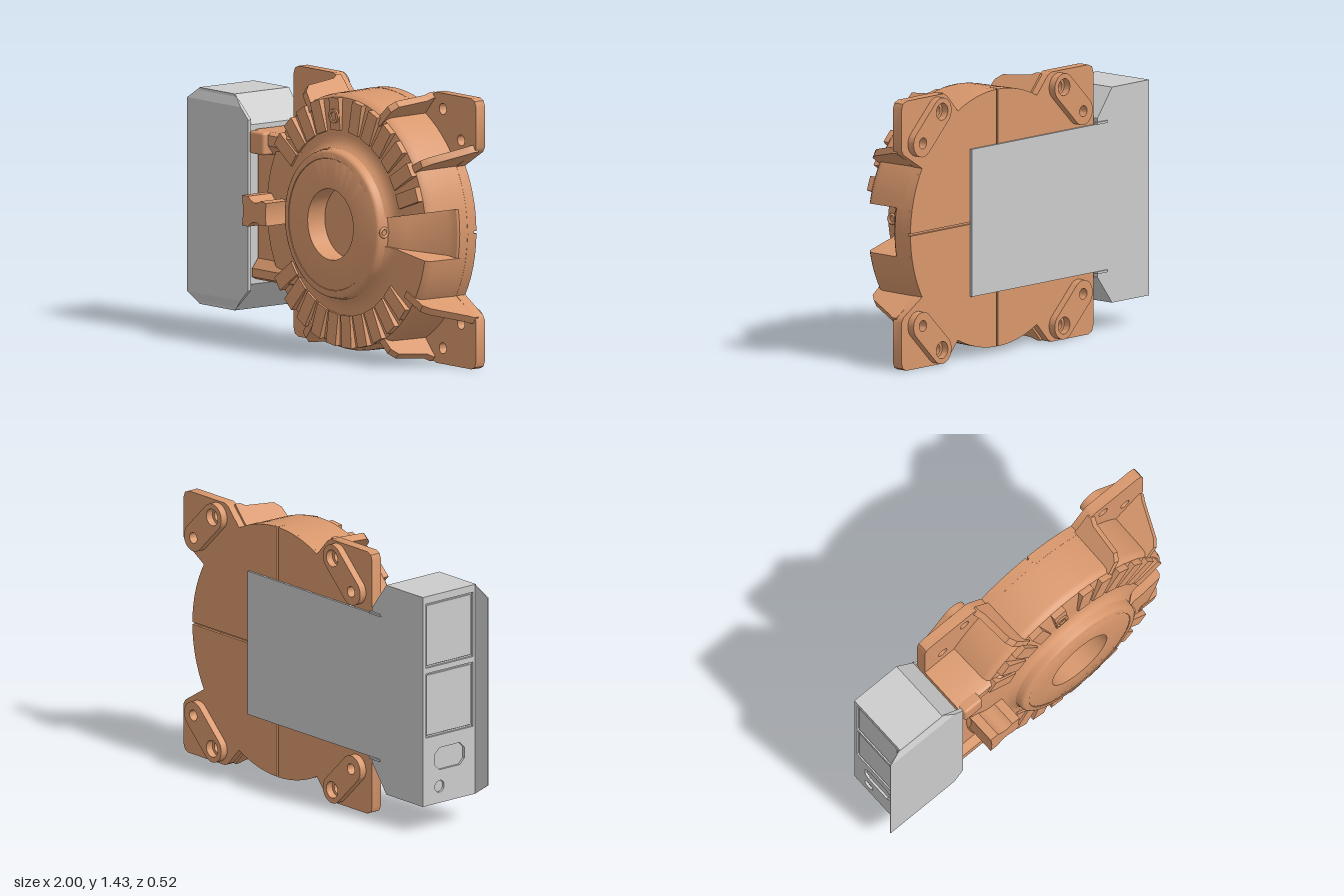
import * as THREE from 'three';
import { toCreasedNormals } from 'three/addons/utils/BufferGeometryUtils.js';
import { RoundedBoxGeometry } from 'three/addons/geometries/RoundedBoxGeometry.js';
import { ConvexGeometry } from 'three/addons/geometries/ConvexGeometry.js';

const RAD = Math.PI / 180;
const CX = 0.25, CY = 0.717;   // axis of the round housing
const cast = new THREE.MeshStandardMaterial({ color: 0xd8976c });
cast.side = THREE.DoubleSide;
const grey = new THREE.MeshStandardMaterial({ color: 0xcccccc });

const shapeOf = (pts) => new THREE.Shape(pts.map(([x, y]) => new THREE.Vector2(x, y)));
const circle = (x, y, r) => new THREE.Path().absarc(x, y, r, 0, Math.PI * 2);
const extrude = (shape, depth) =>
  toCreasedNormals(new THREE.ExtrudeGeometry(shape, { depth, bevelEnabled: false, curveSegments: 20 }), 0.6);

export function createModel() {
  const model = new THREE.Group();
  const body = new THREE.Group();
  body.name = 'housing';
  body.position.set(CX, CY, 0);
  model.add(body);

  const add = (parent, name, geo, mat, x = 0, y = 0, z = 0) => {
    const m = new THREE.Mesh(geo, mat);
    m.name = name;
    m.position.set(x, y, z);
    parent.add(m);
    return m;
  };
  // Turned part around z; angles in degrees counter-clockwise from +x
  const turned = (pts, from = 0, sweep = 360) => toCreasedNormals(
    new THREE.LatheGeometry(pts.map(([r, z]) => new THREE.Vector2(r, z)),
      Math.ceil(sweep / 4), (from + 90) * RAD, sweep * RAD).rotateX(Math.PI / 2), 0.6);

  // Round casing with a sloping notch on the +x side
  const NOTCH = 11;
  const ring = [[0.68, -0.205], [0.675, 0.055], [0.67, 0.08], [0.655, 0.097], [0.64, 0.1], [0.5, 0.117],
    [0.465, 0.118], [0.435, 0.124], [0.41, 0.138], [0.395, 0.155]];
  const floor = [[0.68, -0.205], [0.678, -0.11], [0.67, -0.1], [0.62, -0.085], [0.47, 0.08], [0.43, 0.115], [0.395, 0.14]];
  add(body, 'casing', turned([[0, -0.205], ...ring], NOTCH, 360 - 2 * NOTCH), cast);
  add(body, 'notchFloor', turned([[0, -0.205], ...floor], -NOTCH, 2 * NOTCH), cast);
  for (const s of [-1, 1]) {
    const wall = new THREE.ShapeGeometry(shapeOf([[0.39, -0.2], ...ring]));
    add(body, 'notchWall', wall.rotateX(Math.PI / 2).rotateZ(s * NOTCH * RAD), cast);
  }

  // Central hub with a blind bore
  add(body, 'hub', turned([[0.4, 0.08], [0.39, 0.185], [0.385, 0.197], [0.375, 0.204], [0.347, 0.205], [0.345, 0.202],
    [0.34, 0.205], [0.187, 0.205], [0.187, 0.09], [0, 0.09]]), cast);
  add(body, 'setScrew', new THREE.TorusGeometry(0.023, 0.008, 8, 20).rotateY(Math.PI / 2), cast, 0.392, 0, 0.165);

  // Radial pads on the front ring
  const padAngles = [20, 32, 44, 55.5, 67, 79, 96, 110, 121.5, 133, 144.5];
  for (let k = 0; k < 10; k++) padAngles.push(-144 + 11.5 * k);
  for (const a of padAngles) {
    const pad = new THREE.BoxGeometry(0.17, 0.078, 0.055).translate(0.57, 0, 0.1025).rotateZ(a * RAD);
    add(body, 'pad', pad, cast);
  }
  add(body, 'plugBoss', turned([[0.038, 0.12], [0.038, 0.14], [0.022, 0.14], [0.022, 0.132], [0, 0.132]]), cast, -0.06, 0.557, 0);

  // Upright gusset between two points, shortened towards the front
  const gusset = (a, b, topLen) => {
    const dx = b[0] - a[0], dy = b[1] - a[1], len = Math.hypot(dx, dy);
    const g = extrude(shapeOf([[0, -0.18], [len, -0.18], [len, -0.15], [len - 0.02, -0.12],
      [topLen + 0.015, 0.06], [topLen - 0.02, 0.095], [0, 0.112]]), 0.04);
    g.translate(0, 0, -0.02).rotateX(Math.PI / 2).rotateZ(Math.atan2(dy, dx));
    add(body, 'gusset', g, cast, a[0], a[1], 0);
  };

  // Four quadrants of the back plate, each with an ear and a slotted foot
  const arc = (from, to) => Array.from({ length: 9 }, (_, i) => {
    const t = (from + (to - from) * i / 8) * RAD;
    return [0.68 * Math.cos(t), 0.68 * Math.sin(t)];
  });
  const gap = 0.006;
  for (const sx of [-1, 1]) for (const sy of [-1, 1]) {
    const mir = ([x, y]) => [sx * x, sy * y];
    const side = sx > 0 ? [[0.68, gap], ...arc(1, 30), [0.735, 0.43], [0.75, 0.455]] : [[0.75, gap]];
    const pts = [[gap, gap], ...side, [0.75, 0.67], [0.739, 0.7], [0.71, 0.713], [0.42, 0.713],
      [0.395, 0.7], ...arc(63, 89), [gap, 0.68]];
    const holes = [[0.477, 0.63], [0.627, 0.483]].map(mir);
    const plate = shapeOf(pts.map(mir));
    for (const [x, y] of holes) plate.holes.push(circle(x, y, 0.029));
    add(body, 'backPlate', extrude(plate, 0.06), cast, 0, 0, -0.22);

    // Capsule foot around the two bolt holes
    const [p, q] = holes;
    const half = Math.hypot(q[0] - p[0], q[1] - p[1]) / 2;
    const foot = new THREE.Shape();
    foot.absarc(half, 0, 0.073, -Math.PI / 2, Math.PI / 2);
    foot.absarc(-half, 0, 0.073, Math.PI / 2, Math.PI * 1.5);
    foot.holes.push(circle(half, 0, 0.029), circle(-half, 0, 0.045));
    const m = add(body, 'foot', extrude(foot, 0.04), cast, (p[0] + q[0]) / 2, (p[1] + q[1]) / 2, -0.26);
    m.rotation.z = Math.atan2(q[1] - p[1], q[0] - p[0]);

    gusset(mir([0.275, 0.555]), mir([0.4, 0.695]), 0.13);
    if (sx > 0) gusset(mir([0.5, 0.315]), mir([0.738, 0.452]), 0.15);
  }

  // Side block joining the housing to the control box, hollowed across its front
  const blockProfile = shapeOf([[-0.39, -0.205], [0.4, -0.205], [0.4, 0.09], [0.385, 0.118], [0.33, 0.118],
    [0.28, 0.08], [-0.28, 0.08], [-0.33, 0.118], [-0.375, 0.118], [-0.39, 0.09]]);
  const block = extrude(blockProfile, 0.6);
  // profile (y, z) swept along x
  block.applyMatrix4(new THREE.Matrix4().makeBasis(new THREE.Vector3(0, 1, 0),
    new THREE.Vector3(0, 0, 1), new THREE.Vector3(1, 0, 0)));
  add(body, 'sideBlock', block, cast, -0.75, 0, 0);
  add(body, 'cornerLug', new RoundedBoxGeometry(0.12, 0.12, 0.1, 3, 0.015), cast, -0.68, 0.34, 0.1);

  // Waisted clamp standing on the side block
  const clamp = new THREE.Shape();
  clamp.moveTo(-0.1, -0.08);
  clamp.lineTo(-0.05, -0.08);
  clamp.quadraticCurveTo(0, -0.03, 0.05, -0.065);
  clamp.lineTo(0.1, -0.06);
  clamp.quadraticCurveTo(0.085, 0, 0.1, 0.06);
  clamp.lineTo(0.05, 0.065);
  clamp.quadraticCurveTo(0, 0.03, -0.05, 0.08);
  clamp.lineTo(-0.1, 0.08);
  clamp.quadraticCurveTo(-0.085, 0, -0.1, -0.08);
  add(body, 'clamp', extrude(clamp, 0.19), cast, -0.56, 0, 0.07);

  // Sheet-metal control box
  const box = new THREE.Group();
  box.name = 'controlBox';
  model.add(box);
  const outline = shapeOf([[-0.907, 0.15], [-0.63, 0.15], [-0.515, 0.3], [-0.515, 1.14], [-0.63, 1.29], [-0.907, 1.29]]);
  add(box, 'boxBody', extrude(outline, 0.365), grey, 0, 0, -0.235);

  // Outer wall with two panel recesses, a connector cut-out and a cable hole
  const rect = (x0, y0, x1, y1) => new THREE.Path([[x0, y0], [x1, y0], [x1, y1], [x0, y1]].map((p) => new THREE.Vector2(...p)));
  const wall = shapeOf([[-0.13, 0.15], [0.235, 0.15], [0.235, 1.29], [-0.13, 1.29]]);
  wall.holes.push(rect(-0.11, 0.9, 0.215, 1.25), rect(-0.11, 0.52, 0.215, 0.87), circle(0.12, 0.24, 0.032));
  wall.holes.push(new THREE.Path([[-0.05, 0.36], [-0.02, 0.33], [0.12, 0.33], [0.15, 0.36], [0.15, 0.42],
    [0.12, 0.45], [-0.02, 0.45], [-0.05, 0.42]].map((p) => new THREE.Vector2(...p))));
  add(box, 'connectorWall', extrude(wall, 0.014).rotateY(Math.PI / 2).translate(-0.92, 0, 0), grey);
  for (const y of [1.075, 0.695]) add(box, 'panel', new RoundedBoxGeometry(0.012, 0.33, 0.305, 2, 0.004), grey, -0.909, y, -0.0525);

  // Front cover, bent back along its rim
  const rim = [];
  for (const s of [-1, 1]) {
    for (const [x, y, z] of [[-1, 0.51, 0.147], [-1, 0.51, 0.14], [-0.56, 0.51, 0.147], [-0.5, 0.45, 0.145],
      [-0.5, 0.45, 0.125], [-0.63, 0.57, 0.125], [-0.92, 0.57, 0.125]]) rim.push(new THREE.Vector3(x, 0.72 + s * y, z));
  }
  add(box, 'frontCover', new ConvexGeometry(rim), grey);

  // Thin sheet running behind the housing, with folded lips by the box
  add(box, 'backSheet', new THREE.BoxGeometry(1.07, 0.78, 0.012), grey, -0.065, 0.72, -0.231);
  for (const s of [-1, 1]) add(box, 'sheetLip', new THREE.BoxGeometry(0.08, 0.012, 0.04), grey, -0.545, 0.72 + s * 0.395, -0.225);

  return model;
}
